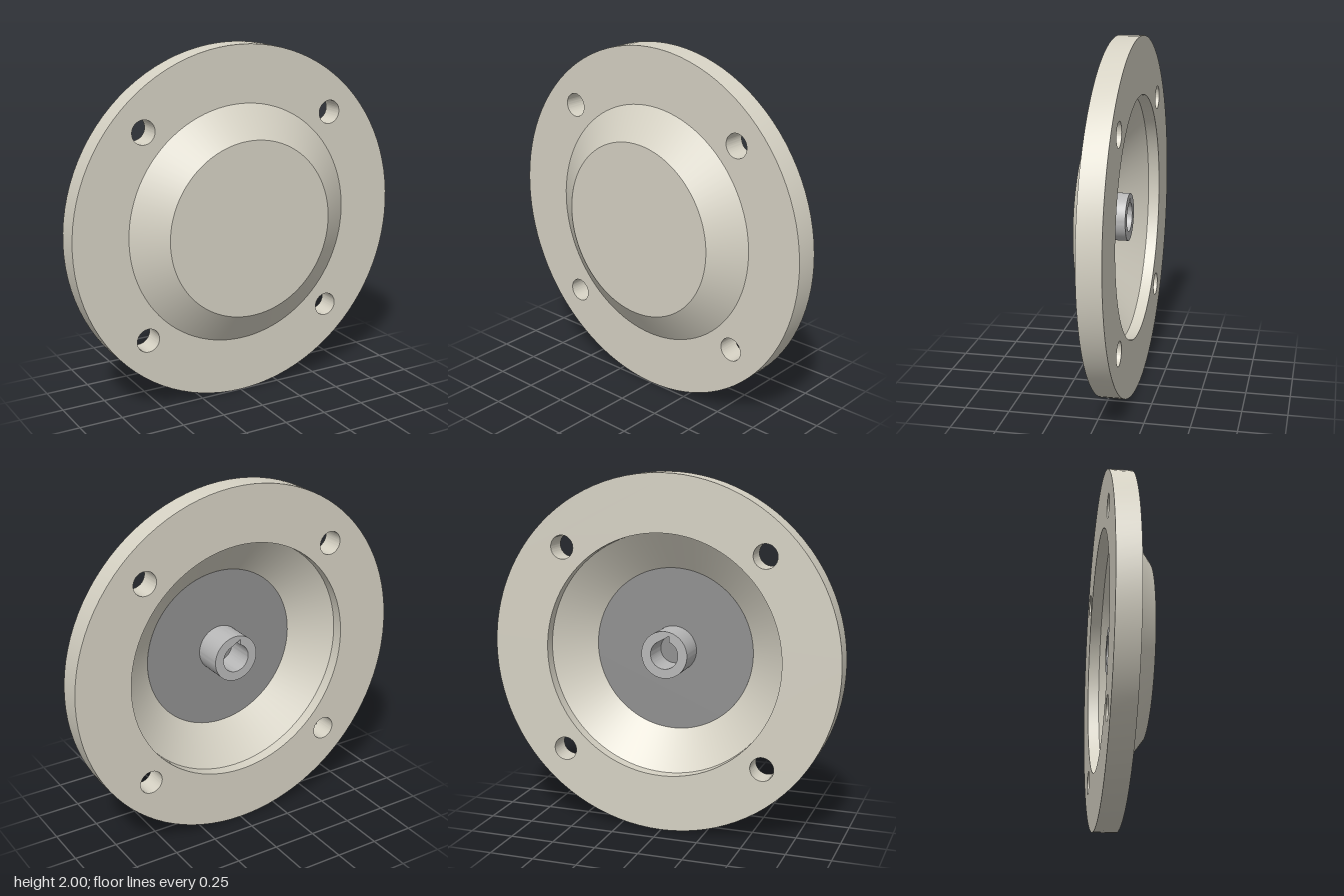
import * as THREE from 'three';
import { toCreasedNormals } from 'three/addons/utils/BufferGeometryUtils.js';

const SEGMENTS = 96;
const CREASE = 0.45;

const circle = (Type, x, y, r) => new Type().absarc(x, y, r, 0, Math.PI * 2, false);

// Extrudes a shape along z between two depths
function plate(shape, zBack, zFront) {
  const geometry = new THREE.ExtrudeGeometry(shape, {
    depth: zFront - zBack, bevelEnabled: false, curveSegments: SEGMENTS / 2,
  });
  return toCreasedNormals(geometry.translate(0, 0, zBack), CREASE);
}

// Revolves a [radius, z] profile around the z axis
function revolve(profile) {
  const points = profile.map(([r, z]) => new THREE.Vector2(r, z));
  const geometry = new THREE.LatheGeometry(points, SEGMENTS).rotateX(Math.PI / 2);
  return toCreasedNormals(geometry, CREASE);
}

export function createModel() {
  const model = new THREE.Group();
  const cream = new THREE.MeshStandardMaterial({ color: 0xd6d2c4 });
  const darkGrey = new THREE.MeshStandardMaterial({ color: 0x909090 });
  const grey = new THREE.MeshStandardMaterial({ color: 0xb8b8b8 });

  function add(name, geometry, material) {
    const mesh = new THREE.Mesh(geometry, material);
    mesh.name = name;
    mesh.position.y = 1;
    model.add(mesh);
  }

  // Flange ring with four bolt holes
  const ring = circle(THREE.Shape, 0, 0, 1);
  ring.holes.push(circle(THREE.Path, 0, 0, 0.68));
  for (const x of [-0.58, 0.58]) {
    for (const y of [-0.58, 0.58]) ring.holes.push(circle(THREE.Path, x, y, 0.067));
  }
  add('flange', plate(ring, -0.13, 0), cream);

  // Hollow conical dome: inner wall first, then the outside
  add('domeInside', revolve([[0, 0.105], [0.45, 0.105], [0.68, -0.065]]), cream);
  add('domeOutside', revolve([[0.68, 0], [0.5, 0.13], [0, 0.13]]), cream);

  // Disc on the floor of the dome
  add('backingDisc', plate(circle(THREE.Shape, 0, 0, 0.463), 0.095, 0.105), darkGrey);

  // Hub with a keyed bore, the keyway pointing up
  const bore = 0.08, keyHalf = 0.028, keyTop = 0.108;
  const keyAngle = Math.asin(keyHalf / bore);
  const keyedBore = new THREE.Path();
  keyedBore.moveTo(keyHalf, keyTop);
  keyedBore.absarc(0, 0, bore, Math.PI / 2 - keyAngle, -1.5 * Math.PI + keyAngle, true);
  keyedBore.lineTo(-keyHalf, keyTop);
  keyedBore.closePath();
  const hub = circle(THREE.Shape, 0, 0, 0.133);
  hub.holes.push(keyedBore);
  add('hub', plate(hub, -0.075, 0.095), grey);

  return model;
}
